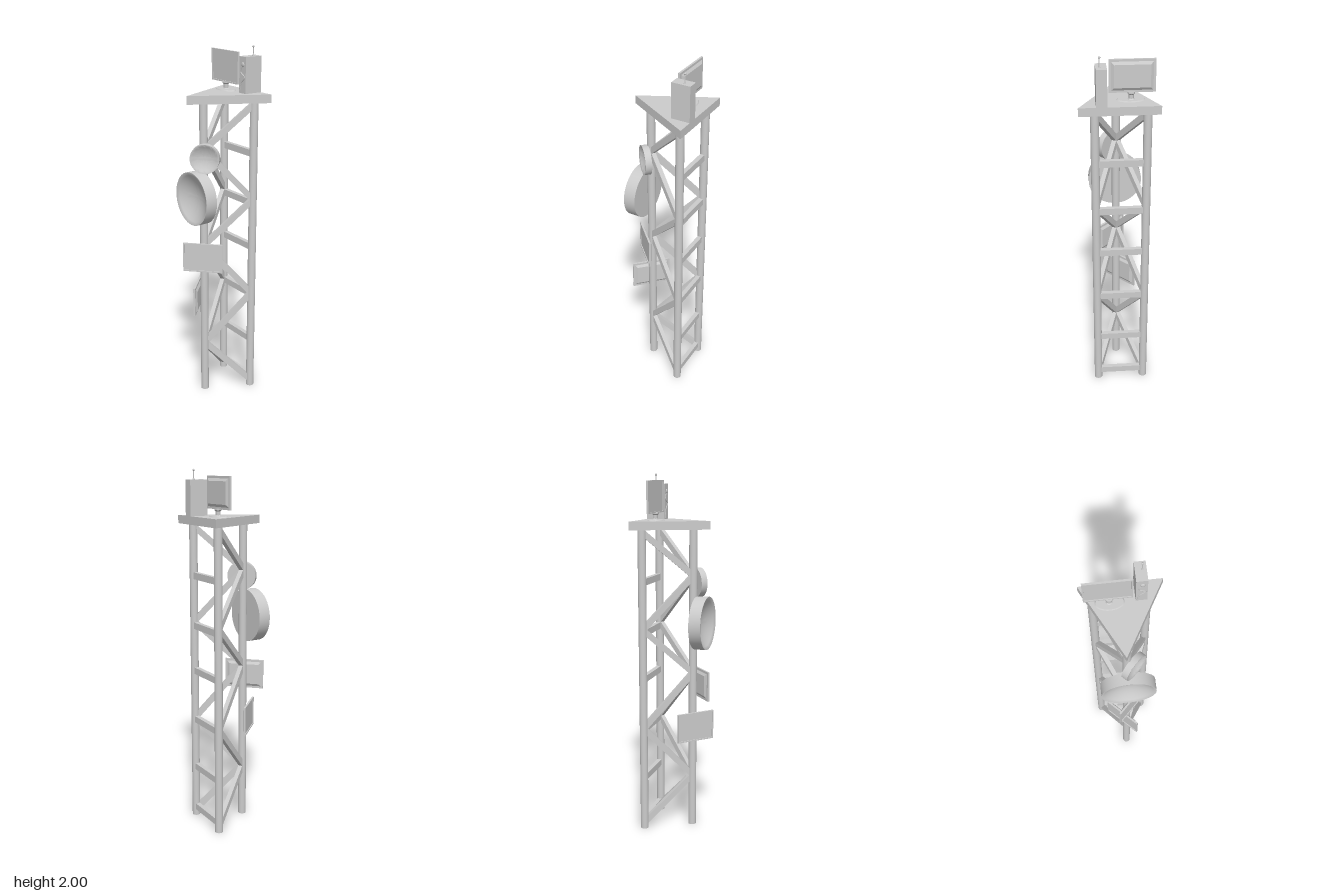
import * as THREE from 'three';
import { toCreasedNormals } from 'three/addons/utils/BufferGeometryUtils.js';

const material = new THREE.MeshStandardMaterial({ color: 0xcccccc });
const V = (x, y, z) => new THREE.Vector3(x, y, z);

function part(parent, name, geometry, x = 0, y = 0, z = 0) {
  const mesh = new THREE.Mesh(geometry, material);
  mesh.name = name;
  mesh.position.set(x, y, z);
  parent.add(mesh);
  return mesh;
}

// Rectangular bar between two points
function beam(parent, name, a, b, width, height) {
  const mesh = part(parent, name, new THREE.BoxGeometry(width, height, a.distanceTo(b)));
  mesh.position.copy(a).add(b).multiplyScalar(0.5);
  mesh.lookAt(b);
}

function rectangle(path, w, h) {
  path.moveTo(-w / 2, -h / 2);
  path.lineTo(w / 2, -h / 2);
  path.lineTo(w / 2, h / 2);
  path.lineTo(-w / 2, h / 2);
  path.closePath();
  return path;
}

// Flat panel antenna facing +z: raised rim, recessed face and bevelled back
function panel(parent, name, w, h, x, y, z, turn = 0) {
  const group = new THREE.Group();
  group.name = name;
  group.position.set(x, y, z);
  group.rotation.y = turn;
  parent.add(group);

  const rim = rectangle(new THREE.Shape(), w, h);
  rim.holes.push(rectangle(new THREE.Path(), w - 0.014, h - 0.014));
  part(group, 'panelRim', new THREE.ExtrudeGeometry(rim, { depth: 0.011, bevelEnabled: false }));
  part(group, 'panelFace', new THREE.BoxGeometry(w - 0.012, h - 0.012, 0.006), 0, 0, 0.003);

  const back = new THREE.BoxGeometry(w - 0.024, h - 0.024, 0.009);
  const p = back.attributes.position;
  for (let i = 0; i < p.count; i++) {
    if (p.getZ(i) < 0) {
      p.setX(i, p.getX(i) - Math.sign(p.getX(i)) * 0.014);
      p.setY(i, p.getY(i) - Math.sign(p.getY(i)) * 0.014);
    }
  }
  back.computeVertexNormals();
  part(group, 'panelBack', back, 0, 0, -0.0045);
}

// Drum dish facing +z: flat back, straight rim, concave front
function dish(parent, name, r, thickness, bowl, x, y, z, turn = 0) {
  const profile = [new THREE.Vector2(0, -thickness), new THREE.Vector2(r, -thickness), new THREE.Vector2(r, 0)];
  const steps = 10;
  for (let i = 0; i <= steps; i++) {
    const t = 1 - i / steps;
    profile.push(new THREE.Vector2(r * 0.975 * t, -bowl * (1 - t * t)));
  }
  const geometry = toCreasedNormals(new THREE.LatheGeometry(profile, 48), 0.6);
  geometry.rotateX(Math.PI / 2);
  part(parent, name, geometry, x, y, z).rotation.y = turn;
}

export function createModel() {
  const model = new THREE.Group();
  model.name = 'antennaTower';

  // Three legs
  const deckY = 1.71;
  const front = [0, 0.087], backLeft = [0.124, -0.155], backRight = [-0.144, -0.155];
  const legs = { frontLeg: front, backLeftLeg: backLeft, backRightLeg: backRight };
  for (const [name, [x, z]] of Object.entries(legs)) {
    part(model, name, new THREE.CylinderGeometry(0.0225, 0.0225, deckY, 24), x, deckY / 2, z);
  }

  // Horizontal rungs across the back
  for (const y of [0.055, 0.31, 0.6, 0.89, 1.15, 1.43]) {
    beam(model, 'backRung', V(backRight[0], y, backRight[1]), V(backLeft[0], y, backLeft[1]), 0.025, 0.037);
  }

  // Zigzag braces on both sides
  const levels = [0.035, 0.305, 0.605, 0.915, 1.17, 1.46, 1.7];
  for (const back of [backLeft, backRight]) {
    for (let i = 0; i < levels.length - 1; i++) {
      const [a, b] = i % 2 ? [front, back] : [back, front];
      beam(model, 'sideBrace', V(a[0], levels[i], a[1]), V(b[0], levels[i + 1], b[1]), 0.025, 0.032);
    }
  }

  // Triangular platform
  const triangle = new THREE.Shape([
    new THREE.Vector2(-0.207, 0.203), new THREE.Vector2(-0.012, -0.185), new THREE.Vector2(0.207, 0.203),
  ]);
  const deck = new THREE.ExtrudeGeometry(triangle, { depth: 0.045, bevelEnabled: false });
  deck.rotateX(-Math.PI / 2);
  part(model, 'platform', deck, 0, deckY, 0);

  // Dishes and panels on the front leg
  dish(model, 'largeDish', 0.147, 0.067, 0.05, 0.003, 1.2, 0.173);
  dish(model, 'smallDish', 0.08, 0.035, 0.026, 0.047, 1.42, 0.115, Math.PI / 4);
  panel(model, 'upperPanel', 0.222, 0.167, 0.025, 0.853, 0.113, Math.PI / 4);
  panel(model, 'lowerPanel', 0.222, 0.167, -0.023, 0.608, 0.11, -Math.PI / 4);

  // Panel on a stand with a low oval foot
  panel(model, 'topPanel', 0.235, 0.17, -0.068, 1.88, -0.11);
  const foot = part(model, 'standFoot', new THREE.CylinderGeometry(0.066, 0.074, 0.006, 40), -0.061, 1.757, -0.103);
  foot.scale.z = 0.57;
  const standProfile = [[0, 0], [0.02, 0], [0.013, 0.008], [0.013, 0.028], [0.019, 0.034], [0.019, 0.042], [0, 0.042]];
  const stand = new THREE.LatheGeometry(standProfile.map(([x, y]) => new THREE.Vector2(x, y)), 24);
  part(model, 'standPost', toCreasedNormals(stand, 0.6), -0.063, 1.757, -0.107);

  // Equipment cabinet with a lamp and a bent cable on its front
  part(model, 'cabinet', new THREE.BoxGeometry(0.055, 0.19, 0.103), 0.09, 1.85, -0.1515);
  part(model, 'cabinetLamp', new THREE.SphereGeometry(0.012, 20, 12), 0.093, 1.905, -0.1).scale.z = 0.4;
  const bends = [V(0.068, 1.76, -0.1), V(0.082, 1.81, -0.1), V(0.108, 1.84, -0.1), V(0.075, 1.865, -0.1), V(0.093, 1.905, -0.1)];
  const cable = new THREE.CatmullRomCurve3(bends);
  part(model, 'cabinetCable', new THREE.TubeGeometry(cable, 40, 0.003, 8));

  // Whip antenna on the cabinet
  part(model, 'whipBase', new THREE.CylinderGeometry(0.004, 0.006, 0.008, 16), 0.098, 1.949, -0.163);
  part(model, 'whipRod', new THREE.CylinderGeometry(0.0025, 0.0025, 0.05, 12), 0.098, 1.97, -0.163);
  part(model, 'whipTip', new THREE.SphereGeometry(0.006, 16, 12), 0.098, 1.994, -0.163);

  return model;
}
